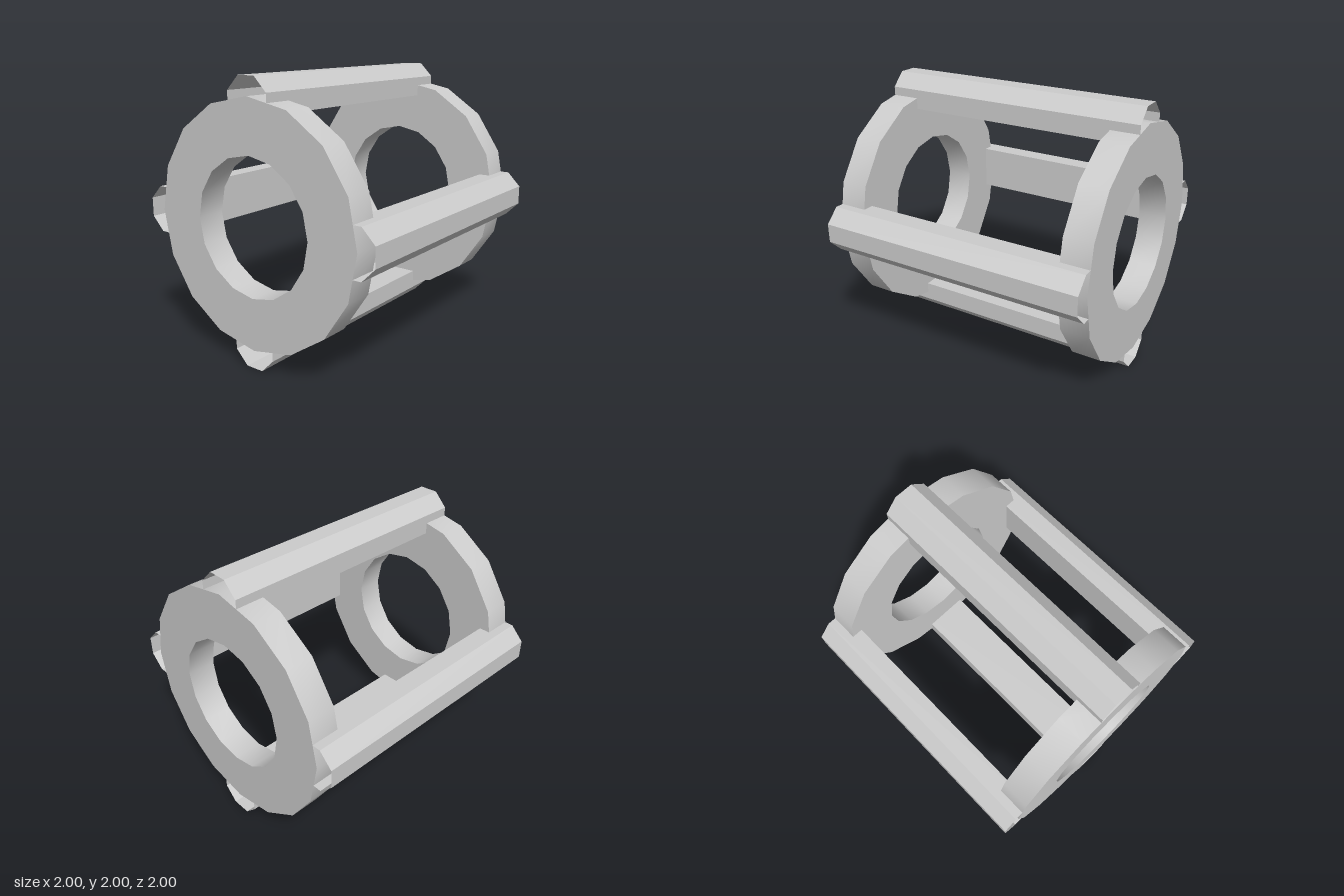
import * as THREE from 'three';
import { toCreasedNormals } from 'three/addons/utils/BufferGeometryUtils.js';

const SIDES = 16;
const CENTRE_Y = 1;

function polygon(radius) {
  return Array.from({ length: SIDES }, (_, i) => {
    const a = (i / SIDES) * Math.PI * 2;
    return new THREE.Vector2(Math.cos(a) * radius, Math.sin(a) * radius);
  });
}

// Thick 16-sided ring whose axis lies along x
function ringGeometry(outer, inner, width) {
  const shape = new THREE.Shape(polygon(outer));
  shape.holes.push(new THREE.Path(polygon(inner)));
  const geo = new THREE.ExtrudeGeometry(shape, { depth: width, bevelEnabled: false });
  geo.translate(0, 0, -width / 2);
  geo.rotateY(Math.PI / 2);
  return toCreasedNormals(geo, Math.PI / 6);
}

// Open-ended chamfered tube along x, from a closed [z, y] section
function barGeometry(section, length) {
  const h = length / 2;
  const pos = [];
  section.forEach(([z0, y0], i) => {
    const [z1, y1] = section[(i + 1) % section.length];
    pos.push(-h, y0, z0, -h, y1, z1, h, y1, z1);
    pos.push(-h, y0, z0, h, y1, z1, h, y0, z0);
  });
  const geo = new THREE.BufferGeometry();
  geo.setAttribute('position', new THREE.Float32BufferAttribute(pos, 3));
  geo.computeVertexNormals();
  return geo;
}

export function createModel() {
  const model = new THREE.Group();
  model.name = 'ringCage';
  const ringMaterial = new THREE.MeshStandardMaterial({ color: 0xcccccc });
  const barMaterial = new THREE.MeshStandardMaterial({
    color: 0xcccccc, flatShading: true, side: THREE.DoubleSide,
  });

  // End rings
  const ringGeo = ringGeometry(0.87, 0.49, 0.21);
  for (const side of [-1, 1]) {
    const ring = new THREE.Mesh(ringGeo, ringMaterial);
    ring.name = side > 0 ? 'leftRing' : 'rightRing';
    ring.position.set(side * 0.895, CENTRE_Y, 0);
    model.add(ring);
  }

  // Four hollow bars around the rings, chamfered on the outside
  const section = [
    [-0.17, 0.755], [0.17, 0.755], [0.17, 0.9],
    [0.07, 1], [-0.07, 1], [-0.17, 0.9],
  ];
  const barGeo = barGeometry(section, 2);
  ['topBar', 'frontBar', 'bottomBar', 'backBar'].forEach((name, i) => {
    const bar = new THREE.Mesh(barGeo, barMaterial);
    bar.name = name;
    bar.position.y = CENTRE_Y;
    bar.rotation.x = (i * Math.PI) / 2;
    model.add(bar);
  });

  return model;
}
